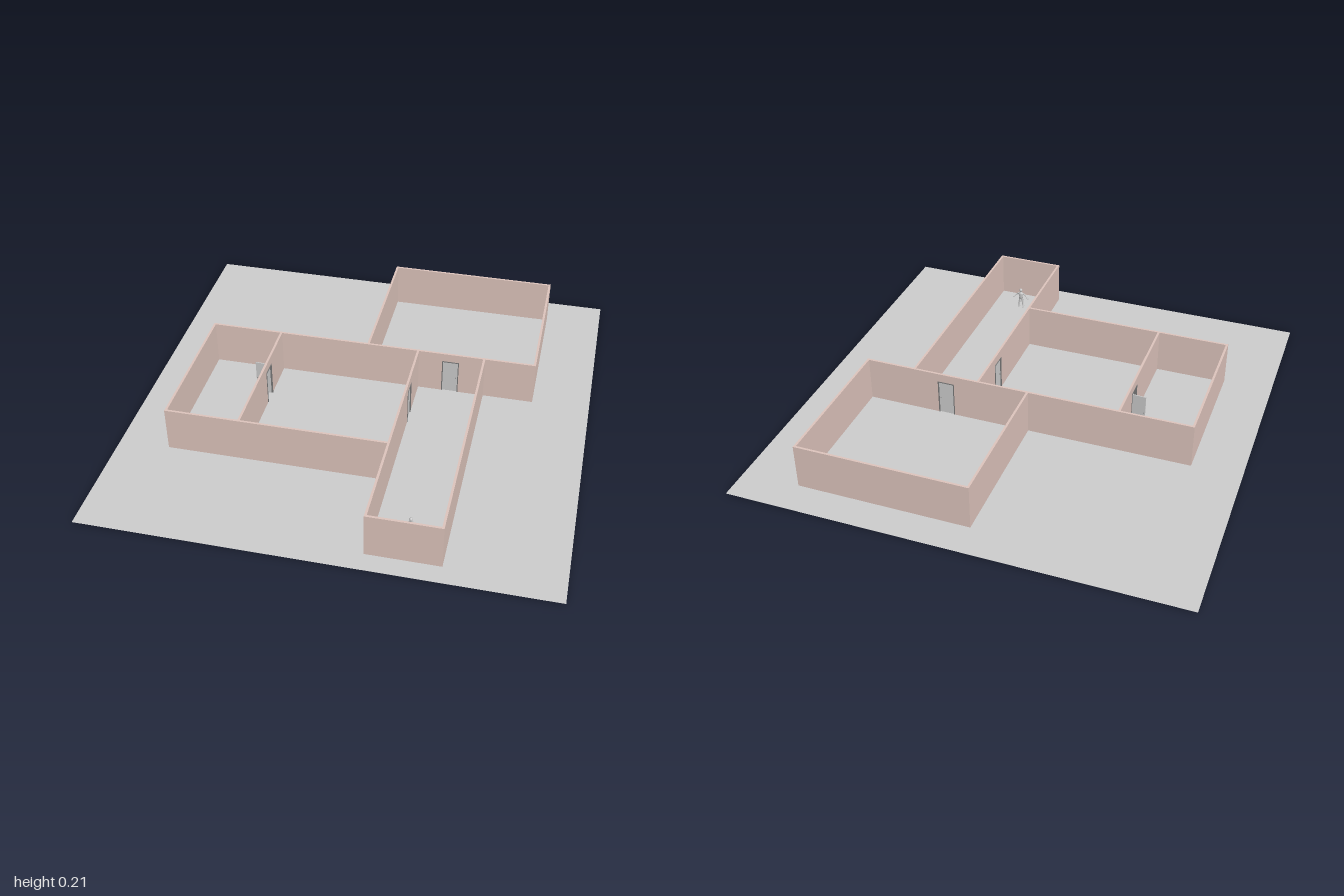
import * as THREE from 'three';

const BASE = 0.003, TOP = 0.205, THICK = 0.01;
const DOOR_W = 0.076, DOOR_H = 0.163;

const grey = new THREE.MeshStandardMaterial({ color: 0xcccccc });
const groundMat = new THREE.MeshStandardMaterial({ color: 0xcccccc, side: THREE.DoubleSide });
const wallMat = new THREE.MeshStandardMaterial({ color: 0xdcc3bb });
const frameMat = new THREE.MeshStandardMaterial({ color: 0x777777 });

function add(parent, name, geometry, material, x = 0, y = 0, z = 0) {
  const mesh = new THREE.Mesh(geometry, material);
  mesh.name = name;
  mesh.position.set(x, y, z);
  parent.add(mesh);
  return mesh;
}

// Wall between two floor points; door = distance along the wall to a doorway centre
function wall(parent, name, [x0, z0], [x1, z1], door) {
  const length = Math.hypot(x1 - x0, z1 - z0) + THICK;
  const h = TOP - BASE;
  const s = new THREE.Shape();
  s.moveTo(0, 0);
  if (door !== undefined) {
    const a = door + THICK / 2 - DOOR_W / 2;
    s.lineTo(a, 0);
    s.lineTo(a, DOOR_H);
    s.lineTo(a + DOOR_W, DOOR_H);
    s.lineTo(a + DOOR_W, 0);
  }
  s.lineTo(length, 0);
  s.lineTo(length, h);
  s.lineTo(0, h);
  s.closePath();
  const geo = new THREE.ExtrudeGeometry(s, { depth: THICK, bevelEnabled: false });
  geo.translate(-THICK / 2, 0, -THICK / 2);
  const mesh = add(parent, name, geo, wallMat, x0, BASE, z0);
  mesh.rotation.y = -Math.atan2(z1 - z0, x1 - x0);
}

// Door frame with a hinged leaf, centred on its doorway and running along local x
function door(parent, name, x, z, turn, swing = 0) {
  const g = new THREE.Group();
  g.name = name;
  g.position.set(x, BASE, z);
  g.rotation.y = turn;
  parent.add(g);
  const w = DOOR_W, t = 0.004, d = 0.014;
  for (const side of [-1, 1]) {
    add(g, 'doorJamb', new THREE.BoxGeometry(t, DOOR_H, d), frameMat, side * (w / 2 - t / 2), DOOR_H / 2, 0);
  }
  add(g, 'doorHead', new THREE.BoxGeometry(w, t, d), frameMat, 0, DOOR_H - t / 2, 0);

  const hinge = new THREE.Group();
  hinge.name = 'doorHinge';
  hinge.position.set(-w / 2 + t, 0, 0);
  hinge.rotation.y = swing;
  g.add(hinge);
  const lw = w - 2 * t, lh = DOOR_H - t;
  add(hinge, 'doorLeaf', new THREE.BoxGeometry(lw, lh, 0.004), grey, lw / 2, lh / 2, 0);
  for (const side of [-1, 1]) {
    add(hinge, 'doorKnob', new THREE.SphereGeometry(0.0025, 8, 6), frameMat, lw - 0.007, lh * 0.48, side * 0.004);
  }
}

// Tapered limb from point a to point b
function limb(parent, name, a, b, ra, rb) {
  const from = new THREE.Vector3(...a), to = new THREE.Vector3(...b);
  const dir = to.clone().sub(from);
  const mesh = add(parent, name, new THREE.CylinderGeometry(rb, ra, dir.length(), 8), grey);
  mesh.position.copy(from).add(to).multiplyScalar(0.5);
  mesh.quaternion.setFromUnitVectors(new THREE.Vector3(0, 1, 0), dir.normalize());
}

// Small standing figure with arms held out
function figure(parent, x, z) {
  const g = new THREE.Group();
  g.name = 'figure';
  g.position.set(x, 0, z);
  parent.add(g);
  const torso = [[0, 0.05], [0.010, 0.05], [0.009, 0.062], [0.013, 0.078], [0.011, 0.085], [0.004, 0.088], [0.0035, 0.094]]
    .map(p => new THREE.Vector2(...p));
  add(g, 'torso', new THREE.LatheGeometry(torso, 10), grey).scale.z = 0.65;
  add(g, 'head', new THREE.SphereGeometry(0.0075, 10, 8), grey, 0, 0.1, 0).scale.y = 1.2;
  for (const s of [-1, 1]) {
    limb(g, 'upperArm', [s * 0.011, 0.083, 0], [s * 0.025, 0.069, 0.004], 0.0038, 0.003);
    limb(g, 'forearm', [s * 0.025, 0.069, 0.004], [s * 0.037, 0.059, -0.004], 0.003, 0.0022);
    add(g, 'hand', new THREE.SphereGeometry(0.0035, 8, 6), grey, s * 0.038, 0.058, -0.005);
    limb(g, 'thigh', [s * 0.006, 0.054, 0], [s * 0.009, 0.029, 0.001], 0.0055, 0.004);
    limb(g, 'shin', [s * 0.009, 0.029, 0.001], [s * 0.011, 0.004, -0.001], 0.004, 0.0028);
    add(g, 'foot', new THREE.BoxGeometry(0.006, 0.006, 0.016), grey, s * 0.011, 0.003, 0.003);
  }
}

export function createModel() {
  const model = new THREE.Group();
  model.name = 'floorPlan';

  const ground = new THREE.PlaneGeometry(1.97, 2).rotateX(-Math.PI / 2);
  add(model, 'ground', ground, groundMat, 0, BASE, 0);

  // Grid lines of the plan
  const xL = -0.76, xP = -0.44, xB = -0.03, xC = 0.2, xE = 0.5, xR = 0.725;
  const zB = -0.85, zM = -0.18, zF = 0.475, zE = 0.91;

  // Shared cross wall, with the door to the back room
  wall(model, 'crossWall', [xL, zM], [xR, zM], 0.35 - xL);

  // Back room
  wall(model, 'backRoomRearWall', [xB, zB], [xR, zB]);
  wall(model, 'backRoomRightWall', [xB, zB], [xB, zM]);
  wall(model, 'backRoomLeftWall', [xR, zB], [xR, zM]);

  // Side and middle rooms
  wall(model, 'sideRoomOuterWall', [xL, zM], [xL, zF]);
  wall(model, 'roomsFrontWall', [xL, zF], [xC, zF]);
  wall(model, 'partitionWall', [xP, zM], [xP, zF], 0.05 - zM);

  // Corridor
  wall(model, 'corridorRightWall', [xC, zM], [xC, zE], 0.05 - zM);
  wall(model, 'corridorLeftWall', [xE, zM], [xE, zE]);
  wall(model, 'corridorEndWall', [xC, zE], [xE, zE]);

  // Doors: two closed, the partition door standing open
  door(model, 'backRoomDoor', 0.35, zM, 0);
  door(model, 'corridorDoor', xC, 0.05, -Math.PI / 2);
  door(model, 'partitionDoor', xP, 0.05, -Math.PI / 2, -Math.PI / 2 - 0.08);

  figure(model, 0.355, 0.785);
  return model;
}
